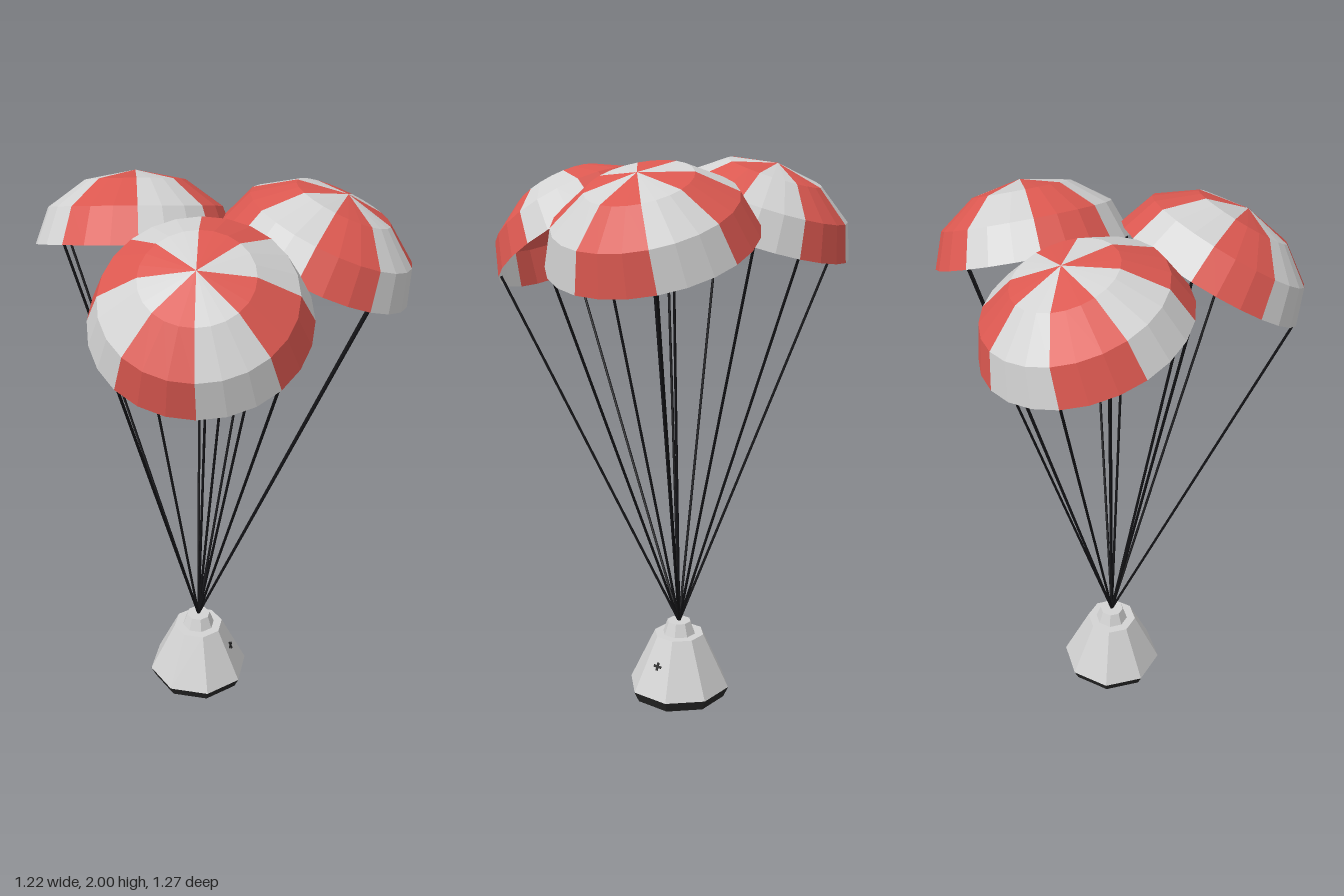
import * as THREE from 'three';
import { mergeGeometries } from 'three/addons/utils/BufferGeometryUtils.js';

const RAD = Math.PI / 180;
const UP = new THREE.Vector3(0, 1, 0);
const CANOPY_RADIUS = 0.345;
const CANOPY_HEIGHT = 0.245;
const CAPSULE_X = 0.02;

// rim centre, apex, and the angles (from +x towards +z) of the first red gore and the first cord
const CANOPIES = [
  { name: 'rightCanopy', rim: [-0.273, 1.745, -0.048], apex: [-0.317, 1.978, -0.11], red: 51.5, cord: 6.5 },
  { name: 'backCanopy', rim: [0.288, 1.722, -0.307], apex: [0.367, 1.948, -0.36], red: 27.8, cord: 27.8 },
  { name: 'frontCanopy', rim: [0.235, 1.705, 0.308], apex: [0.297, 1.913, 0.421], red: 58.5, cord: 13.5 },
];

function material(name, color, side = THREE.FrontSide) {
  const m = new THREE.MeshStandardMaterial({ color, side });
  m.name = name;
  return m;
}

function mesh(name, geometry, mat) {
  const m = new THREE.Mesh(geometry, mat);
  m.name = name;
  return m;
}

// split the corners so every face is shaded flat
function faceted(geometry) {
  const g = geometry.toNonIndexed();
  g.computeVertexNormals();
  return g;
}

// four alternating gores of an eight-sided squashed dome
function gores(startDeg) {
  const parts = [];
  for (let i = 0; i < 4; i++) {
    const phi = Math.PI - (startDeg + i * 90 + 45) * RAD;
    const g = new THREE.SphereGeometry(CANOPY_RADIUS, 1, 3, phi, Math.PI / 4, 0, Math.PI / 2);
    g.scale(1, CANOPY_HEIGHT / CANOPY_RADIUS, 1);
    parts.push(faceted(g));
  }
  return mergeGeometries(parts);
}

// thin straight line between two points
function cord(from, to, mat) {
  const dir = to.clone().sub(from);
  const m = mesh('cord', faceted(new THREE.CylinderGeometry(0.0048, 0.0048, dir.length(), 6)), mat);
  m.position.copy(from).addScaledVector(dir, 0.5);
  m.quaternion.setFromUnitVectors(UP, dir.normalize());
  return m;
}

// eight-sided frustum standing on y
function frustum(name, rTop, rBottom, y, height, mat) {
  const g = new THREE.CylinderGeometry(rTop, rBottom, height, 8);
  g.translate(0, y + height / 2, 0);
  return mesh(name, faceted(g), mat);
}

export function createModel() {
  const root = new THREE.Group();
  root.name = 'parachuteCapsule';
  const red = material('red fabric', 0xdb5850, THREE.DoubleSide);
  const white = material('white fabric', 0xd2d2d2, THREE.DoubleSide);
  const hull = material('hull grey', 0xd2d2d2);
  const shield = material('shield black', 0x272727);
  const rope = material('cord black', 0x121215);

  // capsule: heat shield, hull and neck
  const capsule = new THREE.Group();
  capsule.name = 'capsule';
  capsule.position.x = CAPSULE_X;
  capsule.add(
    frustum('heatShield', 0.193, 0.175, 0, 0.04, shield),
    frustum('hull', 0.095, 0.193, 0.04, 0.205, hull),
    frustum('neck', 0.045, 0.062, 0.245, 0.048, hull),
  );

  // small cross-shaped mark lying on one hull face
  const mark = new THREE.Group();
  mark.name = 'hullMark';
  mark.add(
    mesh('markBar', new THREE.BoxGeometry(0.034, 0.009, 0.006), shield),
    mesh('markPost', new THREE.BoxGeometry(0.009, 0.03, 0.006), shield),
  );
  mark.rotation.set(-0.416, 112.5 * RAD, 0, 'YXZ');
  mark.position.set(0.13 * Math.cos(22.5 * RAD), 0.15, -0.13 * Math.sin(22.5 * RAD));
  capsule.add(mark);
  root.add(capsule);

  // canopies, each with four cords running to the neck
  const anchor = new THREE.Vector3(CAPSULE_X, 0.29, 0);
  const cords = new THREE.Group();
  cords.name = 'cords';
  for (const c of CANOPIES) {
    const canopy = new THREE.Group();
    canopy.name = c.name;
    canopy.position.set(...c.rim);
    const axis = new THREE.Vector3(...c.apex).sub(canopy.position).normalize();
    canopy.quaternion.setFromUnitVectors(UP, axis);
    canopy.add(mesh('redGores', gores(c.red), red), mesh('whiteGores', gores(c.red + 45), white));
    canopy.updateMatrix();
    root.add(canopy);

    for (let i = 0; i < 4; i++) {
      const a = (c.cord + i * 90) * RAD;
      const r = CANOPY_RADIUS * 0.97;
      const end = new THREE.Vector3(r * Math.cos(a), 0, r * Math.sin(a)).applyMatrix4(canopy.matrix);
      cords.add(cord(anchor, end, rope));
    }
  }
  root.add(cords);
  return root;
}
